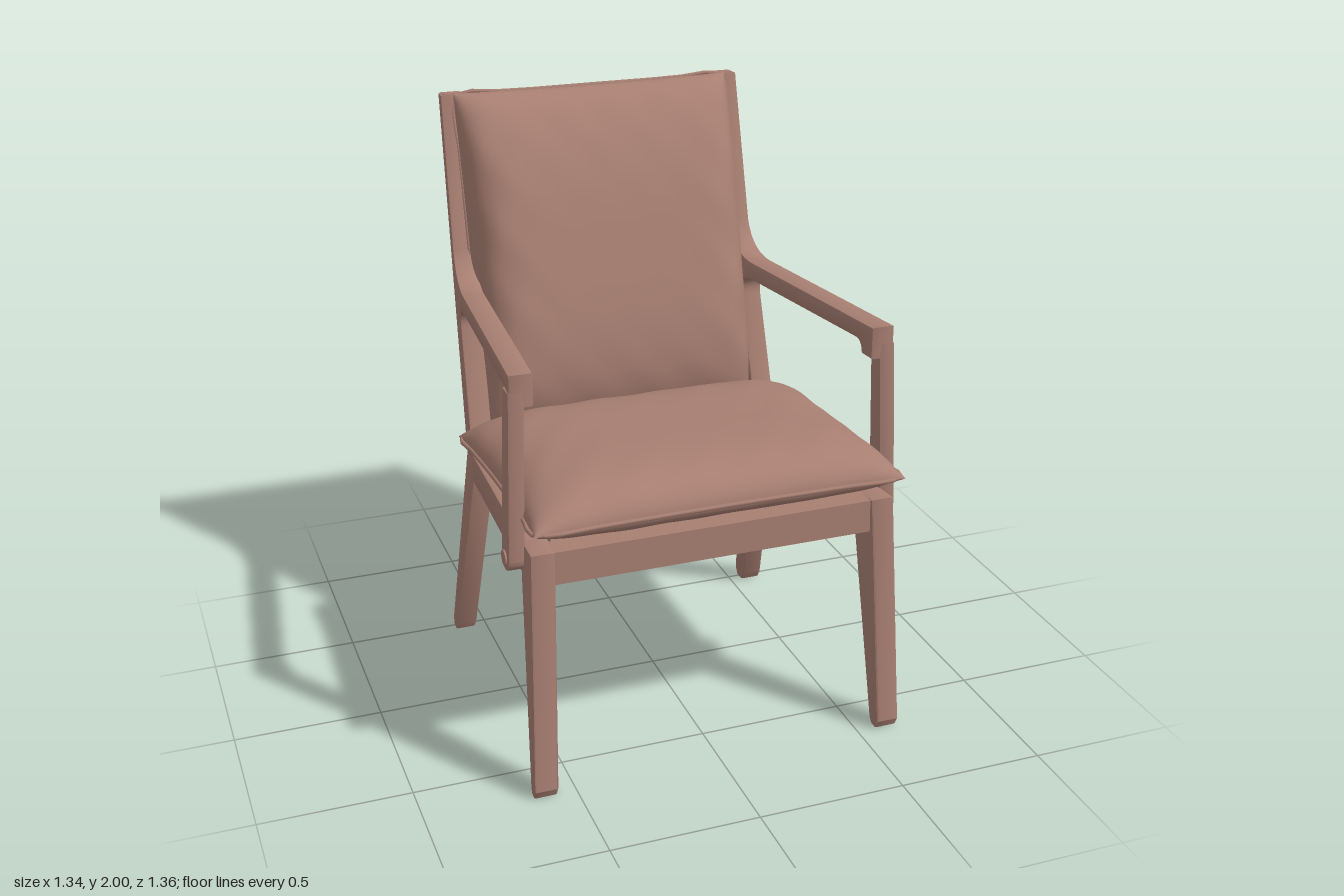
import * as THREE from 'three';
import { mergeGeometries, toCreasedNormals } from 'three/addons/utils/BufferGeometryUtils.js';

const clay = new THREE.MeshStandardMaterial({ color: 0xa87f72 });
clay.name = 'clayBrown';

const polygon = (pts) => new THREE.Shape(pts.map(([z, y]) => new THREE.Vector2(z, y)));

// Wooden part: a side outline (z, y) given a width, with its outer face at x = outer(z, y)
function sidePart(shape, side, width, outer, bevel = 0.007) {
  const geo = new THREE.ExtrudeGeometry(shape, {
    depth: width - 2 * bevel, bevelThickness: bevel, bevelSize: bevel,
    bevelOffset: -bevel, bevelSegments: 2, curveSegments: 10,
  });
  const p = geo.attributes.position;
  for (let i = 0; i < p.count; i++) {
    const z = p.getX(i), y = p.getY(i), w = p.getZ(i) + bevel;
    const o = outer(z, y);
    p.setXYZ(i, side > 0 ? o - w : width - o - w, y, z);
  }
  return toCreasedNormals(geo, 0.5);
}

// Stuffed cushion: two bulging sheets joined by a piped seam
function cushion({ w, l, front, back, a, b, lean = 0, pinch = 0.02 }) {
  const N = 44;
  const edge = (u, v) => [
    w * u * (1 - pinch * (1 - v * v)),
    l * v * (1 - pinch * (1 - u * u)),
  ];
  const sheet = (sign, height) => {
    const geo = new THREE.PlaneGeometry(2, 2, N, N);
    if (sign < 0) geo.rotateY(Math.PI);
    const p = geo.attributes.position;
    for (let i = 0; i < p.count; i++) {
      const u = Math.sin(p.getX(i) * Math.PI / 2), v = Math.sin(p.getY(i) * Math.PI / 2);
      const fall = Math.max(0, (1 - Math.abs(u) ** a) * (1 - Math.abs(v) ** b));
      // soft puckers that fade towards the middle and vanish at the seam
      const pucker = 0.02 * Math.sin(17 * u + 3 * v) * Math.sin(13 * v - 2 * u) * Math.max(u * u, v * v);
      const h = height * Math.sqrt(fall) * (1 - lean * v) * (1 + pucker * 2);
      const [x, y] = edge(u, v);
      p.setXYZ(i, x, y, sign * h);
    }
    geo.computeVertexNormals();
    return geo;
  };
  const outline = [];
  const corners = [[-1, -1], [1, -1], [1, 1], [-1, 1]];
  corners.forEach(([u, v], k) => {
    const [u2, v2] = corners[(k + 1) % 4];
    for (let i = 0; i < 8; i++) {
      const t = 0.03 + 0.94 * i / 7;
      const [x, y] = edge(u + (u2 - u) * t, v + (v2 - v) * t);
      outline.push(new THREE.Vector3(x, y, 0));
    }
  });
  const piping = new THREE.TubeGeometry(new THREE.CatmullRomCurve3(outline, true), 96, 0.008, 6, true);
  return mergeGeometries([sheet(1, front), sheet(-1, back), piping]);
}

export function createModel() {
  const chair = new THREE.Group();
  chair.name = 'armchair';
  const add = (name, geo, pos = [0, 0, 0], tilt = 0) => {
    const mesh = new THREE.Mesh(geo, clay);
    mesh.name = name;
    mesh.position.set(...pos);
    mesh.rotation.x = tilt;
    chair.add(mesh);
    return mesh;
  };

  // Side outlines
  const frontLeg = polygon([[0.625, 0.02], [0.64, 0], [0.665, 0], [0.68, 0.03], [0.61, 0.84], [0.49, 0.835], [0.49, 0.725]]);
  const rearLeg = polygon([[-0.45, 0.03], [-0.47, 0], [-0.505, 0], [-0.52, 0.03], [-0.37, 0.76], [-0.262, 0.8], [-0.255, 0.695]]);
  const sideRail = polygon([[0.5, 0.836], [-0.275, 0.802], [-0.275, 0.695], [0.5, 0.725]]);

  const armAndStile = new THREE.Shape();
  armAndStile.moveTo(-0.37, 0.75);
  armAndStile.lineTo(-0.262, 0.79);
  armAndStile.lineTo(-0.395, 1.22);
  armAndStile.quadraticCurveTo(-0.415, 1.295, -0.325, 1.3);
  armAndStile.lineTo(0.405, 1.332);
  armAndStile.quadraticCurveTo(0.437, 1.332, 0.442, 1.29);
  armAndStile.lineTo(0.505, 1.29);
  armAndStile.lineTo(0.505, 1.397);
  armAndStile.lineTo(-0.33, 1.365);
  armAndStile.quadraticCurveTo(-0.46, 1.365, -0.5, 1.47);
  armAndStile.lineTo(-0.625, 1.985);
  armAndStile.lineTo(-0.675, 1.985);

  const post = new THREE.Shape();
  post.moveTo(0.505, 1.34);
  post.lineTo(0.442, 1.34);
  post.lineTo(0.444, 0.785);
  post.absarc(0.486, 0.785, 0.042, Math.PI, 2 * Math.PI, false);

  for (const side of [1, -1]) {
    const s = side > 0 ? 'left' : 'right';
    const add2 = (name, shape, width, outer) => add(s + name, sidePart(shape, side, width, outer));
    add2('FrontLeg', frontLeg, 0.08, (z, y) => 0.59 + 0.05 * z + 0.03 * (0.7 - y));
    add2('RearLeg', rearLeg, 0.075, (z, y) => 0.59 + 0.05 * z + 0.07 * (0.7 - y));
    add2('SideRail', sideRail, 0.07, (z) => 0.588 + 0.05 * z);
    add2('ArmAndStile', armAndStile, 0.078, (z) => 0.597 + 0.0855 * z);
    add2('ArmPost', post, 0.054, (z, y) => 0.642 + 0.037 * (1.38 - y));
    const peg = add(s + 'Peg', new THREE.CylinderGeometry(0.026, 0.026, 0.08, 20), [side * 0.629, 0.785, 0.486]);
    peg.rotation.z = Math.PI / 2;
  }

  // Cross rails and seat deck
  add('frontRail', new THREE.BoxGeometry(1.1, 0.112, 0.08), [0, 0.78, 0.562]);
  add('backRail', new THREE.BoxGeometry(1.04, 0.1, 0.075), [0, 0.747, -0.313]);
  add('topRail', new THREE.BoxGeometry(1.06, 0.045, 0.042), [0, 1.962, -0.646], -0.241);
  add('seatDeck', new THREE.BoxGeometry(1.04, 0.015, 0.86), [0, 0.806, 0.14], -0.045);

  // Back panel with three raised seams on its rear
  const recline = -0.241;
  add('backPanel', new THREE.BoxGeometry(0.99, 1.24, 0.015), [0, 1.37, -0.502], recline);
  for (const x of [-0.16, 0, 0.16]) {
    const pts = [];
    for (let i = 0; i <= 16; i++) {
      pts.push(new THREE.Vector3(x + 0.003 * Math.sin(i * 2.3 + x * 20), -0.57 + i * 1.13 / 16, 0));
    }
    const seam = new THREE.TubeGeometry(new THREE.CatmullRomCurve3(pts), 48, 0.011, 6);
    add('backSeam', seam, [0, 1.37, -0.512], recline);
  }

  // Cushions
  add('seatCushion', cushion({ w: 0.62, l: 0.468, front: 0.135, back: 0.08, a: 5, b: 4, pinch: 0.025 }),
    [0, 0.907, 0.207], -Math.PI / 2 - 0.06);
  add('backCushion', cushion({ w: 0.5, l: 0.6, front: 0.185, back: 0.012, a: 9, b: 3, lean: 0.12, pinch: 0.012 }),
    [0, 1.405, -0.488], recline);
  return chair;
}
